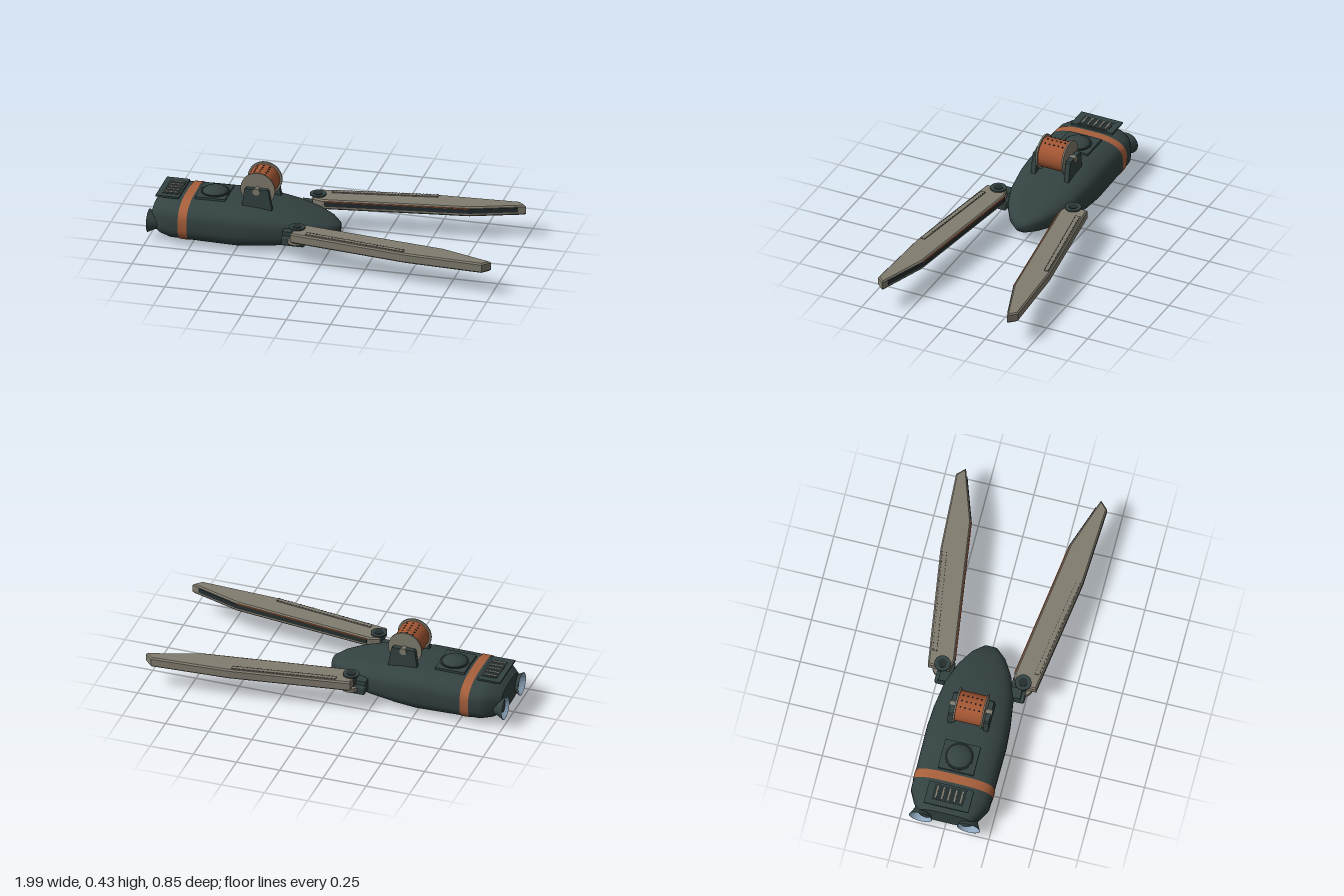
import * as THREE from 'three';
import { RoundedBoxGeometry } from 'three/addons/geometries/RoundedBoxGeometry.js';

const mat = (name, color, side = THREE.FrontSide) =>
  Object.assign(new THREE.MeshStandardMaterial({ color, side }), { name });

// Hull sections: x, half width, bottom y, top y
const HULL = [
  [-0.98, 0.15, 0.05, 0.195], [-0.93, 0.19, 0.02, 0.236], [-0.87, 0.221, 0.011, 0.243],
  [-0.7, 0.223, 0.006, 0.248], [-0.5, 0.225, 0.002, 0.25], [-0.38, 0.217, 0.012, 0.243],
  [-0.22, 0.194, 0.031, 0.219], [-0.1, 0.15, 0.05, 0.196], [-0.01, 0.095, 0.068, 0.17],
  [0.04, 0.04, 0.08, 0.145],
];

function hullAt(x) {
  let i = 0;
  while (i < HULL.length - 2 && x > HULL[i + 1][0]) i++;
  const [a, b] = [HULL[i], HULL[i + 1]];
  const t = (x - a[0]) / (b[0] - a[0]);
  return a.map((v, k) => v + (b[k] - v) * t);
}

// Skin of rounded-square cross-sections along x
function loft(sections, grow = 0, n = 48) {
  const pos = [], idx = [];
  const pw = (v) => Math.sign(v) * Math.pow(Math.abs(v), 0.68);
  sections.forEach(([x, w, lo, hi], i) => {
    for (let j = 0; j < n; j++) {
      const t = (j / n) * Math.PI * 2;
      pos.push(x, (lo + hi) / 2 + pw(Math.sin(t)) * ((hi - lo) / 2 + grow), pw(Math.cos(t)) * (w + grow));
      if (i === sections.length - 1) continue;
      const a = i * n + j, b = i * n + ((j + 1) % n);
      idx.push(a, a + n, b, b, a + n, b + n);
    }
  });
  const g = new THREE.BufferGeometry();
  g.setAttribute('position', new THREE.Float32BufferAttribute(pos, 3));
  g.setIndex(idx);
  g.computeVertexNormals();
  return g;
}

export function createModel() {
  const root = new THREE.Group();
  root.name = 'grapplerPod';
  const dark = mat('dark slate', 0x344242);
  const darker = mat('deep slate', 0x252e2f);
  const grey = mat('warm grey', 0x827d70);
  const copper = mat('copper', 0xa35633);
  const band = mat('copper band', 0xa8603c, THREE.DoubleSide);
  const black = mat('black', 0x15191a);
  const blue = mat('pale blue', 0x8fa9bf, THREE.DoubleSide);

  const add = (name, geo, material, x = 0, y = 0, z = 0, parent = root) => {
    const m = new THREE.Mesh(geo, material);
    m.name = name;
    m.position.set(x, y, z);
    parent.add(m);
    return m;
  };
  const box = (w, h, d) => new THREE.BoxGeometry(w, h, d);
  const cyl = (r, h, n = 32) => new THREE.CylinderGeometry(r, r, h, n);
  const cylZ = (r, h, n = 40) => cyl(r, h, n).rotateX(Math.PI / 2);
  // Flat outline in x and z, thickened from y0 to y1
  const slab = (pts, y0, y1, bevel = 0) => new THREE.ExtrudeGeometry(
    new THREE.Shape(pts.map((p) => new THREE.Vector2(...p))), {
      depth: y1 - y0 - 2 * bevel, bevelEnabled: bevel > 0, bevelSize: bevel,
      bevelThickness: bevel, bevelOffset: -bevel, bevelSegments: 1,
    }).rotateX(Math.PI / 2).translate(0, y1 - bevel, 0);

  // Hull with a flat, sharp-edged stern and a blunt nose
  const stern = HULL[0], nose = HULL[HULL.length - 1];
  const point = (s) => [s[0], 0, (s[2] + s[3]) / 2, (s[2] + s[3]) / 2];
  add('hull', loft([...HULL, point([0.044, ...nose.slice(1)])]), dark);
  add('sternPlate', loft([point(stern), stern]), dark);
  add('hullBand', loft([hullAt(-0.815), hullAt(-0.765)], 0.003), band);

  // Vent panel over the stern
  add('ventPanel', box(0.13, 0.01, 0.25), dark, -0.9, 0.248, 0);
  add('ventRecess', box(0.09, 0.003, 0.18), darker, -0.89, 0.2535, 0);
  for (let i = -2; i <= 2; i++)
    add('ventSlat', box(0.07, 0.005, 0.008), grey, -0.89, 0.255, i * 0.035);

  // Hatch with a shallow dome
  add('hatchPlate', box(0.17, 0.014, 0.2), dark, -0.665, 0.25, 0);
  add('hatchRing', cyl(0.08, 0.006), darker, -0.66, 0.258, 0);
  add('hatchDome', new THREE.SphereGeometry(0.072, 24, 8, 0, Math.PI * 2, 0, Math.PI / 2)
    .scale(1, 0.42, 1), dark, -0.66, 0.256, 0);

  // Winch drum
  const winch = new THREE.Group();
  winch.name = 'winch';
  winch.position.set(-0.4, 0.331, 0);
  root.add(winch);
  add('drum', cylZ(0.085, 0.148), copper, 0, 0, 0, winch);
  add('axle', cylZ(0.018, 0.238, 20), grey, 0, 0, 0, winch);
  for (const a of [-0.42, 0, 0.42])
    for (let i = -2; i <= 2; i++) {
      const dot = add('drumHole', cyl(0.005, 0.004, 10), black,
        Math.sin(a) * 0.085, Math.cos(a) * 0.085, i * 0.026, winch);
      dot.rotation.z = -a;
    }

  // Winch cheek outline
  const cheek = new THREE.Shape([[-0.085, -0.12], [0.09, -0.12], [0.068, 0.006], [0.06, 0.014],
    [-0.06, 0.014], [-0.068, 0.006]].map((p) => new THREE.Vector2(...p)));

  // Paired parts on both sides
  for (const s of [1, -1]) {
    add('drumFlange', cylZ(0.097, 0.009), grey, 0, 0, s * 0.078, winch);
    add('winchCheek', new THREE.ExtrudeGeometry(cheek, { depth: 0.027, bevelEnabled: false })
      .translate(0, 0, -0.0135), dark, 0, 0, s * 0.101, winch);
    add('axleCap', cylZ(0.02, 0.006, 20), grey, 0, 0, s * 0.117, winch);
    add('sideLamp', new THREE.SphereGeometry(0.006, 10, 8), grey, -0.49, 0.16, s * 0.219);

    // Thruster bell opening to the rear
    const bell = [[0.042, 0], [0.044, 0.025], [0.065, 0.065]].map((p) => new THREE.Vector2(...p));
    const inner = [[0.0001, 0.012], [0.036, 0.012], [0.062, 0.0655], [0.065, 0.065]]
      .map((p) => new THREE.Vector2(...p));
    add('thrusterBell', new THREE.LatheGeometry(bell, 28).rotateZ(Math.PI / 2), dark,
      -0.935, 0.102, s * 0.135).material.side = THREE.DoubleSide;
    add('thrusterLining', new THREE.LatheGeometry(inner, 28).rotateZ(Math.PI / 2), blue,
      -0.935, 0.102, s * 0.135);

    // Shoulder hinge
    add('hingeBlock', new RoundedBoxGeometry(0.13, 0.05, 0.09, 2, 0.01), dark, -0.16, 0.115, s * 0.207);
    add('hingeWall', box(0.06, 0.06, 0.07), dark, -0.195, 0.135, s * 0.195);
    add('hingeDisc', cyl(0.05, 0.025), grey, -0.14, 0.124, s * 0.232);
    add('hingePin', cyl(0.03, 0.1, 20), dark, -0.14, 0.15, s * 0.227);
    add('hingeCap', cyl(0.045, 0.008, 24), dark, -0.14, 0.2, s * 0.227);
    add('hingeCapCentre', cyl(0.025, 0.004, 20), darker, -0.14, 0.205, s * 0.227);

    // Gripper arm with a raised rail on its outer edge
    const arm = new THREE.Group();
    arm.name = 'gripperArm';
    root.add(arm);
    const mirror = (pts) => pts.map(([x, z]) => [x, z * s]);
    add('armBlade', slab(mirror([[-0.16, 0.305], [0.51, 0.402], [0.95, 0.425], [0.993, 0.38],
      [0.7, 0.278], [-0.1, 0.168], [-0.16, 0.185]]), 0.135, 0.192, 0.008), grey, 0, 0, 0, arm);
    add('armRail', slab(mirror([[-0.075, 0.302], [0.5, 0.388], [0.5, 0.362], [-0.075, 0.273]]),
      0.19, 0.197), grey, 0, 0, 0, arm);
    // Rivet rows beside the rail
    for (let i = 0; i <= 30; i++)
      for (const z of [0.276, 0.299])
        add('railRivet', box(0.006, 0.002, 0.004), darker,
          -0.07 + i * 0.0187, 0.1975, s * (z + i * 0.0029), arm);

    // Grip pad and copper contact strip along the inner edge
    const inside = [[-0.09, 0.169], [0.7, 0.278], [0.95, 0.365]];
    for (let i = 0; i < 2; i++) {
      const [[x0, z0], [x1, z1]] = [inside[i], inside[i + 1]];
      const len = Math.hypot(x1 - x0, z1 - z0);
      const strip = (name, m, y, h, w) => {
        add(name, box(len, h, w), m, (x0 + x1) / 2, y, s * (z0 + z1) / 2, arm)
          .rotation.y = -s * Math.atan2(z1 - z0, x1 - x0);
      };
      strip('gripPad', darker, 0.168, 0.026, 0.008);
      if (i === 0) strip('contactStrip', copper, 0.183, 0.004, 0.009);
    }
  }
  return root;
}
